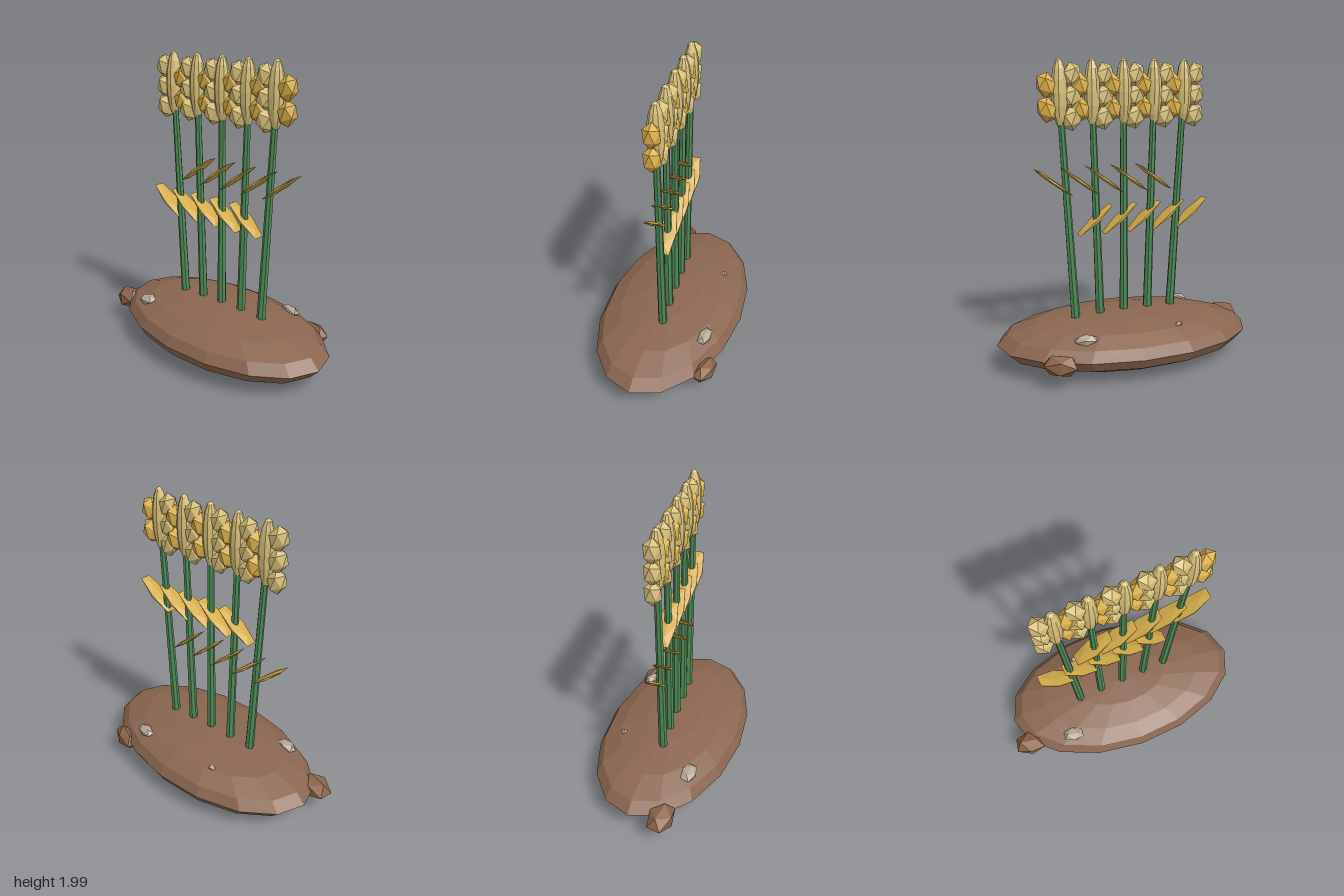
import * as THREE from 'three';

const mat = (name, color) => {
  const m = new THREE.MeshStandardMaterial({ color, flatShading: true });
  m.name = name;
  return m;
};

export function createModel() {
  const soil = mat('soil brown', 0x8a6650);
  const clod = mat('clod brown', 0x8c6349);
  const stone = mat('pebble grey', 0xb3a693);
  const green = mat('stalk green', 0x4f8a57);
  const pale = mat('pale grain', 0xd8c079);
  const gold = mat('golden grain', 0xdcb04a);
  const leafGold = mat('leaf gold', 0xd2aa48);

  const model = new THREE.Group();
  model.name = 'grainPatch';
  const ico = new THREE.IcosahedronGeometry(1, 0);

  function add(parent, name, geo, material, pos, scale = [1, 1, 1], rot = [0, 0, 0]) {
    const m = new THREE.Mesh(geo, material);
    m.name = name;
    m.position.set(...pos);
    m.scale.set(...scale);
    m.rotation.set(...rot);
    parent.add(m);
    return m;
  }

  // Flattened earth mound
  add(model, 'mound', new THREE.SphereGeometry(1, 16, 8), soil,
    [0.025, 0.18, -0.002], [0.86, 0.174, 0.485], [0, -0.1, 0]);

  // Clods of earth at the rim
  add(model, 'clodFront', ico, clod, [-0.785, 0.17, 0.12], [0.122, 0.08, 0.09], [0, -0.25, 0.1]);
  add(model, 'clodBack', ico, clod, [0.57, 0.165, -0.335], [0.12, 0.075, 0.065], [0, -0.35, 0.1]);

  // Pebbles half sunk in the mound
  add(model, 'pebbleFront', ico, stone, [-0.47, 0.285, 0.222], [0.08, 0.035, 0.055], [0.2, -0.2, 0.15]);
  add(model, 'pebbleBack', ico, stone, [0.395, 0.29, -0.295], [0.08, 0.035, 0.045], [-0.2, -0.25, -0.1]);
  add(model, 'pebbleSmall', ico, stone, [-0.235, 0.305, -0.305], [0.027, 0.02, 0.022], [0, 0.3, 0]);

  const stalkGeo = new THREE.CylinderGeometry(0.021, 0.03, 1, 7);
  const headGeo = new THREE.SphereGeometry(1, 10, 8);

  for (let i = 0; i < 5; i++) {
    const k = i - 2;
    const plant = new THREE.Group();
    plant.name = 'plant' + (i + 1);
    model.add(plant);

    // Stalk fanning outward
    const a = new THREE.Vector3(0.03 + k * 0.17, 0.32, 0);
    const b = new THREE.Vector3(0.03 + k * 0.207, 1.66, 0);
    const dir = b.clone().sub(a);
    const mid = a.clone().add(b).multiplyScalar(0.5);
    add(plant, 'stalk', stalkGeo, green, mid.toArray(), [1, dir.length(), 1],
      [0, 0, -Math.atan2(dir.x, dir.y)]);

    // Upright ear with grains on both sides
    const hx = 0.03 + k * 0.21;
    add(plant, 'ear', headGeo, pale, [hx, 1.79, 0], [0.052, 0.21, 0.052]);
    for (const y of [1.635, 1.765, 1.895])
      add(plant, 'leftGrain', ico, pale, [hx - 0.077, y, 0], [0.065, 0.085, 0.057], [0, 0, 0.35]);
    for (const y of [1.69, 1.835])
      add(plant, 'rightGrain', ico, gold, [hx + 0.08, y, 0], [0.065, 0.085, 0.057], [0, 0, -0.35]);

    // Thin slanting leaves
    add(plant, 'lowerLeaf', ico, leafGold, [-0.11 + k * 0.17, 0.978, 0],
      [0.17, 0.014, 0.07], [0, 0, -0.7]);
    add(plant, 'upperLeaf', ico, leafGold, [0.16 + k * 0.17, 1.24, 0],
      [0.176, 0.014, 0.07], [0, 0, 0.64]);
  }
  return model;
}
